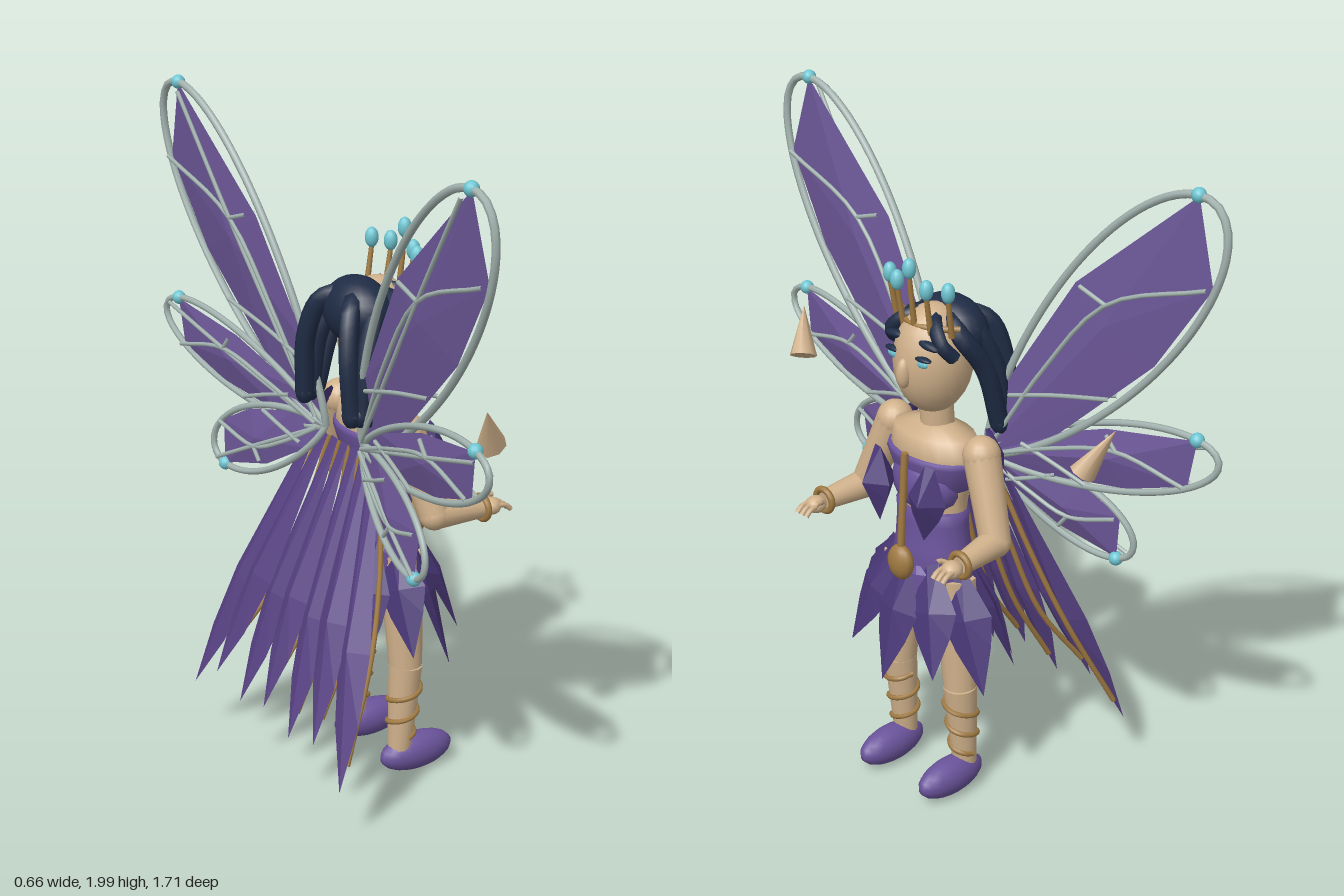
import * as THREE from 'three';
import { ConvexGeometry } from 'three/addons/geometries/ConvexGeometry.js';

const mat = (name, color, flat = false) => {
  const m = new THREE.MeshStandardMaterial({ color, flatShading: flat });
  m.name = name;
  return m;
};
const V = (x, y, z) => new THREE.Vector3(x, y, z);
const rad = THREE.MathUtils.degToRad;

export function createModel() {
  const skin = mat('skin', 0xd0b18b);
  const hair = mat('hair navy', 0x1f2c45);
  const violet = mat('light violet', 0x6b549c);
  const plum = mat('dark petal violet', 0x4a3878, true);
  const capeMat = mat('cape violet', 0x584284, true);
  const wingMat = mat('wing violet', 0x6b5696, true);
  const silver = mat('wing frame silver', 0xa3b3af);
  const gold = mat('gold', 0xa07a42);
  const aqua = mat('aqua gem', 0x6fc6d2);

  const root = new THREE.Group();
  root.name = 'fairy';
  // built facing +z, then turned to face +x
  const body = new THREE.Group();
  body.name = 'figure';
  body.rotation.y = Math.PI / 2;
  root.add(body);

  const add = (name, geo, material) => {
    const m = new THREE.Mesh(geo, material);
    m.name = name;
    body.add(m);
    return m;
  };
  const ball = (name, material, p, r, seg = 16) => {
    const m = add(name, new THREE.SphereGeometry(1, seg, Math.ceil(seg * 0.7)), material);
    m.position.set(...p);
    m.scale.set(...r);
    return m;
  };
  const tube = (name, material, pts, r, seg = 24) =>
    add(name, new THREE.TubeGeometry(new THREE.CatmullRomCurve3(pts.map(p => V(...p))), seg, r, 7), material);
  const limb = (name, material, a, b, ra, rb, sides = 14) => {
    const A = V(...a), B = V(...b), d = B.clone().sub(A);
    const m = add(name, new THREE.CylinderGeometry(rb, ra, d.length(), sides), material);
    m.position.copy(A).add(B).multiplyScalar(0.5);
    m.quaternion.setFromUnitVectors(V(0, 1, 0), d.normalize());
    return m;
  };
  // pointed faceted leaf from a to b, widest part way down
  const leaf = (name, material, a, b, out, width, thick, at = 0.55) => {
    const A = V(...a), B = V(...b), d = B.clone().sub(A);
    const side = d.clone().cross(V(...out)).normalize();
    const n = side.clone().cross(d).normalize();
    const pt = (t, w, k) => A.clone().addScaledVector(d, t).addScaledVector(side, w).addScaledVector(n, k);
    const pts = [A, B, pt(at, 0, thick), pt(at, 0, -thick)];
    for (const s of [-1, 1]) pts.push(pt(0, s * width * 0.25, 0), pt(at, s * width, 0), pt(at + 0.22, s * width * 0.72, 0));
    add(name, new ConvexGeometry(pts), material);
  };
  const lathe = (name, material, profile, z, flatten) => {
    const m = add(name, new THREE.LatheGeometry(profile.map(p => new THREE.Vector2(...p)), 20), material);
    m.scale.z = flatten;
    m.position.z = z;
  };

  // torso, bodice and neck
  lathe('torso', skin, [[0, 0.62], [0.12, 0.63], [0.125, 0.72], [0.105, 0.88], [0.118, 0.97], [0.155, 1.08], [0.14, 1.15], [0.05, 1.175], [0, 1.175]], 0.06, 0.62);
  lathe('corset', violet, [[0.11, 0.72], [0.142, 0.72], [0.124, 0.8], [0.118, 0.88], [0.121, 0.92], [0.1, 0.92]], 0.07, 0.74);
  lathe('bustBand', violet, [[0.11, 0.995], [0.13, 0.995], [0.162, 1.075], [0.158, 1.09], [0.13, 1.09]], 0.062, 0.66);
  ball('bodiceFront', violet, [0, 1.0, 0.09], [0.12, 0.1, 0.085]);
  limb('neck', skin, [0, 1.15, 0.05], [0, 1.26, 0.055], 0.05, 0.048);

  // head and face
  ball('head', skin, [0, 1.37, 0.065], [0.11, 0.162, 0.12], 20);
  ball('nose', skin, [0, 1.355, 0.18], [0.021, 0.045, 0.024]);
  ball('hairCap', hair, [0, 1.44, 0.0], [0.126, 0.1, 0.09], 20);
  for (const s of [-1, 1]) {
    ball('eye', aqua, [s * 0.054, 1.394, 0.165], [0.025, 0.012, 0.008], 10);
    ball('eyelash', hair, [s * 0.056, 1.408, 0.163], [0.034, 0.008, 0.014], 10);
    ball('eyebrow', hair, [s * 0.064, 1.446, 0.148], [0.042, 0.012, 0.016], 10).rotation.z = -s * 0.1;
    // fringe, then three long strands fanned from front to back
    tube('fringe', hair, [[0, 1.505, 0.05], [s * 0.06, 1.49, 0.115], [s * 0.1, 1.45, 0.13], [s * 0.118, 1.41, 0.1]], 0.021, 16);
    for (let i = 0; i < 3; i++) {
      const end = [s * (0.148 - 0.012 * i), 1.18, -0.05 - 0.026 * i];
      tube('hairStrand', hair, [[s * 0.02, 1.495, 0.04 - 0.03 * i], [s * (0.1 - 0.012 * i), 1.465, 0.065 - 0.07 * i],
        [s * (0.138 - 0.014 * i), 1.355, -0.052 * i], end], 0.029, 16);
      ball('hairTip', hair, end, [0.029, 0.036, 0.029], 8);
    }
    // detached pointed ear pieces
    limb('earPoint', skin, [s * 0.56, 1.2, 0.06], [s * 0.62, 1.325, 0.0], 0.045, 0.001, 8).scale.x = 0.8;
  }

  // crown
  tube('crownBand', gold, [-1, -0.6, 0, 0.6, 1].map(t => [t * 0.113, 1.487, 0.138 - 0.065 * t * t]), 0.009);
  for (let i = -2; i <= 2; i++) {
    const x = i * 0.057, z = 0.157 - 0.009 * i * i, top = i ? 1.585 : 1.635;
    limb('crownTine', gold, [x * 0.95, 1.47, z - 0.02], [x, top, z], 0.009, 0.007, 8);
    ball('crownGem', aqua, [x, top + 0.022, z], [0.02, 0.03, 0.02], 12);
  }

  // pendant on a rod
  limb('pendantRod', gold, [0, 1.11, 0.18], [0, 0.8, 0.2], 0.011, 0.011, 8);
  ball('pendant', gold, [0, 0.77, 0.2], [0.046, 0.055, 0.03], 12);

  for (const s of [-1, 1]) {
    // arms and hands
    const shoulder = [s * 0.175, 1.12, 0.05], elbow = [s * 0.265, 0.89, 0.085], wrist = [s * 0.28, 0.882, 0.24];
    ball('shoulder', skin, shoulder, [0.055, 0.055, 0.055]);
    limb('upperArm', skin, shoulder, elbow, 0.054, 0.045);
    ball('elbow', skin, elbow, [0.045, 0.045, 0.045]);
    limb('forearm', skin, elbow, wrist, 0.044, 0.03);
    add('bracelet', new THREE.TorusGeometry(0.034, 0.01, 8, 18), gold).position.set(...wrist);
    ball('palm', skin, [s * 0.28, 0.88, 0.272], [0.031, 0.026, 0.032], 12);
    for (let i = -1; i <= 1; i++) {
      const x = s * 0.28 + i * 0.019;
      tube('finger', skin, [[x, 0.885, 0.28], [x, 0.88, 0.31], [x, 0.865, 0.328]], 0.008, 6);
    }
    tube('thumb', skin, [[s * 0.26, 0.89, 0.265], [s * 0.248, 0.9, 0.285], [s * 0.248, 0.9, 0.3]], 0.008, 6);
    // shoulder and chest leaves
    leaf('shoulderLeaf', plum, [s * 0.14, 1.17, -0.01], [s * 0.22, 1.06, 0.02], [s, 0.6, -0.3], 0.045, 0.02);
    leaf('chestLeaf', plum, [s * 0.105, 1.1, 0.185], [s * 0.09, 0.87, 0.195], [s * 0.25, 0, 1], 0.062, 0.055, 0.45);
    // legs, vine wraps and shoes
    const x = s * 0.127;
    limb('thigh', skin, [x * 0.8, 0.72, 0.08], [x, 0.36, 0.085], 0.066, 0.05);
    limb('calf', skin, [x, 0.36, 0.085], [x, 0.08, 0.065], 0.051, 0.036);
    const vine = [];
    for (let i = 0; i <= 20; i++) {
      const t = i / 20, a = t * Math.PI * 5, r = 0.04 + 0.01 * t;
      vine.push([x + s * r * Math.cos(a), 0.13 + 0.18 * t, 0.068 + 0.015 * t + r * Math.sin(a)]);
    }
    tube('legVine', gold, vine, 0.008, 70);
    ball('shoe', violet, [x, 0.063, 0.125], [0.052, 0.058, 0.125], 18);
  }

  // skirt petals facing mostly forward, and corset hem points
  const ring = (a, rx, rz, y) => [Math.sin(a) * rx, y, 0.075 + Math.cos(a) * rz];
  for (let i = 0; i < 10; i++) {
    const a = i * Math.PI / 5, h = a + Math.PI / 10, front = Math.cos(a) > 0 ? 1 : -1;
    leaf('skirtPetal', plum, ring(a, 0.13, 0.09, 0.77), ring(a, 0.29, 0.205, i % 2 ? 0.46 : 0.41), [Math.sin(a) * 0.5, 0.2, front], 0.077, 0.024, 0.42);
    leaf('hemPoint', violet, ring(h, 0.135, 0.1, 0.76), ring(h, 0.155, 0.115, 0.68), [Math.sin(h), 0, Math.cos(h)], 0.03, 0.01, 0.3);
  }

  // cape of long leaves with gold ribs
  for (let i = -3; i <= 3; i++) {
    const y = [0.28, 0.24, 0.28, 0.19][Math.abs(i)], x = i * 0.137;
    leaf('capeLeaf', capeMat, [i * 0.052, 1.05, -0.045], [x, y, -0.33], [i * 0.04, 0.3, -1], 0.066, 0.03, 0.58);
    tube('capeRib', gold, [[i * 0.05, 1.04, -0.03], [i * 0.08, 0.8, -0.08], [i * 0.107, 0.55, -0.16], [x * 0.97, y + 0.07, -0.295]], 0.008, 16);
  }

  // wing: teardrop frame, faceted membrane, veins and tip gem; flip puts the gem on the lower edge
  const wing = (name, s, tilt, length, width, gemAngle, flip, lean, r) => {
    const c = Math.cos(rad(tilt)), n = Math.sin(rad(tilt));
    const at = (u, v, dz = 0) => {
      const U = u * length, W = v * width * flip;
      return [s * (0.1 + U * c - W * n), 1.07 + U * n + W * c, -0.045 + dz - lean * Math.hypot(u, W / length) ** 0.8];
    };
    const rim = (deg, k = 1) => {
      const a = rad(deg);
      return at((1 - Math.cos(a)) / 2, k * Math.sin(a) * Math.sqrt(Math.abs(Math.sin(a / 2))));
    };
    const loop = [];
    for (let d = 0; d <= 360; d += 15) loop.push(rim(d));
    tube(name + 'Frame', silver, loop, r, 72);
    const edge = [rim(0), rim(gemAngle, 0.95), rim(50, 0.95), rim(95, 0.82), rim(-135, 0.95), rim(-100, 0.92), rim(-55, 0.92)];
    edge.push(at(0.55, 0, 0.022), at(0.55, 0, -0.022));
    add(name + 'Membrane', new ConvexGeometry(edge.map(p => V(...p))), wingMat);
    const vein = (dz, pts) => tube(name + 'Vein', silver, pts.map(([u, v]) => at(u, v, dz)), 0.0065, 14);
    for (const dz of [-0.018, 0.018]) {
      vein(dz, [[0.03, 0], [0.32, 0.2], [0.59, 0.18], [0.85, -0.62]]);
      vein(dz, [[0.59, 0.18], [0.56, 0.6]]);
      vein(dz, [[0.18, 0.3], [0.3, -0.15], [0.43, -0.7]]);
    }
    vein(-0.018, [[0.03, 0], [0.59, 0.18], [0.95, 0.3]]);
    ball(name + 'Gem', aqua, rim(gemAngle), [0.021, 0.021, 0.021], 12);
  };
  for (const s of [-1, 1]) {
    wing('upperWing', s, 51.5, 1.13, 0.215, 163, 1, 0.108, 0.0115);
    wing('middleWing', s, 14, 0.77, 0.115, 148, 1, 0.112, 0.01);
    wing('lowerWing', s, -22, 0.5, 0.115, 149, -1, 0.112, 0.01);
  }
  return root;
}
